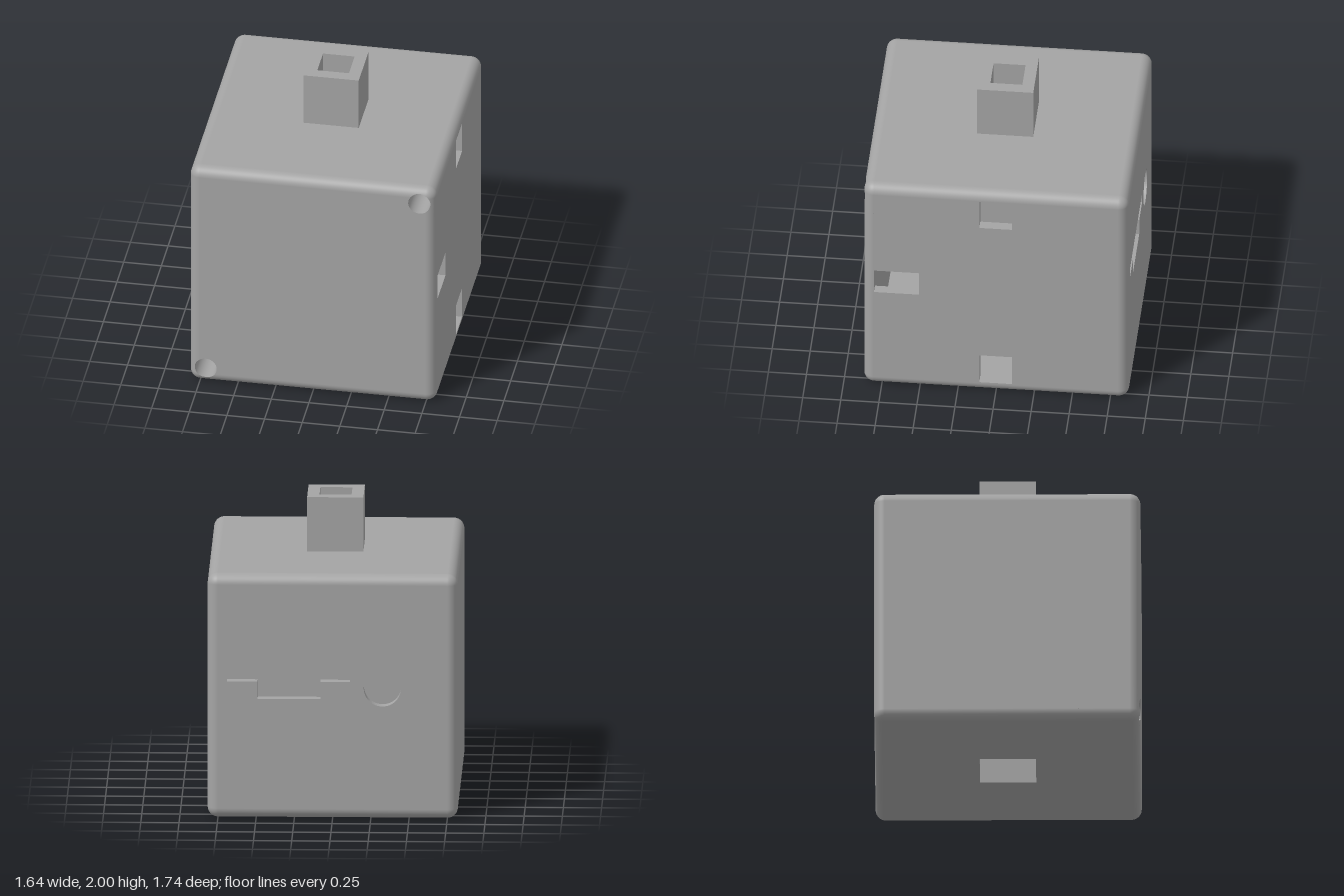
import * as THREE from 'three';
import { ParametricGeometry } from 'three/addons/geometries/ParametricGeometry.js';

const W = 0.818, D = 0.87, R = 0.068;      // half width/height, half depth, edge radius
const F = W - R, FZ = D - R;               // half sizes of the flat areas
const C = 0.709, Q = 2 * C - W;            // screw hole centre, inner limit of its corner patch
const BORE = 0.073, PILOT = 0.037;
const BORE_END = D - 0.25;                 // z of the step inside the screw hole
const SKIN = R / 2;                        // walls are an outer skin plus an inner lining
const STUD = 0.184, DUCT = 0.105;

const mat = new THREE.MeshStandardMaterial({ color: 0xa4a4a4 });
const matDouble = new THREE.MeshStandardMaterial({ color: 0xa4a4a4, side: THREE.DoubleSide });

const poly = (pts, Type = THREE.Shape) => new Type(pts.map(p => new THREE.Vector2(...p)));
const rect = (x0, y0, x1, y1, Type) => poly([[x0, y0], [x1, y0], [x1, y1], [x0, y1]], Type);
const rectHole = (x0, y0, x1, y1) => rect(x0, y0, x1, y1, THREE.Path);

// Centred rectangle with one corner cut out, in the quadrant given by the signs
function notchedRect(w, h, sx, sy, cutX, cutY) {
  const pts = [[-w, -h], [w, -h], [w, h - cutY], [w - cutX, h - cutY], [w - cutX, h], [-w, h]];
  return poly(pts.map(([x, y]) => [sx * x, sy * y]));
}

function add(parent, name, geo, material = mat) {
  const m = new THREE.Mesh(geo, material);
  m.name = name;
  parent.add(m);
  return m;
}

// Plate with holes; its outer face lies at z = 0
function plate(shape, holes, depth) {
  shape.holes.push(...holes);
  const geo = new THREE.ExtrudeGeometry(shape, { depth, bevelEnabled: false, curveSegments: 32 });
  return geo.translate(0, 0, -depth);
}

// Skin and lining together; the lining leaves room for the screw bore
function wall(parent, name, w, h, holes, sx, sy, cutX, cutY) {
  const g = new THREE.Group();
  g.name = name;
  add(g, 'skin', plate(rect(-w, -h, w, h), holes, SKIN));
  add(g, 'lining', plate(notchedRect(w, h, sx, sy, cutX, cutY), holes, R - SKIN)).position.z = -SKIN;
  parent.add(g);
  return g;
}

// Front surface, including its rounded border
function frontZ(x, y) {
  const d = Math.hypot(Math.max(0, x - F), Math.max(0, y - F));
  return FZ + Math.sqrt(Math.max(0, R * R - d * d));
}

// Distance from the screw hole centre to the border of the corner patch
function patchReach(dx, dy) {
  const t = (W - C) / Math.max(Math.abs(dx), Math.abs(dy));
  if (C + dx * t <= F || C + dy * t <= F) return t;
  const o = C - F, b = o * (dx + dy);
  return -b + Math.sqrt(b * b - 2 * o * o + R * R);
}

// Rounded front corner with a counterbored screw hole
function screwCorner() {
  const g = new THREE.Group();
  // Angles gather towards the patch corners, where the surface is steepest
  const around = u => {
    const k = Math.min(3, Math.floor(u * 4)), f = u * 4 - k;
    const a = Math.PI / 4 + (k + f * f * (3 - 2 * f)) * Math.PI / 2;
    return [Math.cos(a), Math.sin(a)];
  };
  add(g, 'cornerSurface', new ParametricGeometry((u, v, p) => {
    const [dx, dy] = around(u);
    const s = BORE + (patchReach(dx, dy) - BORE) * (1 - (1 - v) ** 2);
    const x = C + dx * s, y = C + dy * s;
    p.set(x, y, frontZ(x, y));
  }, 128, 14), matDouble);
  add(g, 'bore', new ParametricGeometry((u, v, p) => {
    const [dx, dy] = around(u);
    const x = C + dx * BORE, y = C + dy * BORE;
    p.set(x, y, THREE.MathUtils.lerp(frontZ(x, y), BORE_END, v));
  }, 128, 1), matDouble);
  add(g, 'boreStep', new THREE.RingGeometry(PILOT, BORE, 48), matDouble).position.set(C, C, BORE_END);
  const pilot = new THREE.CylinderGeometry(PILOT, PILOT, 0.12, 32, 1, true).rotateX(Math.PI / 2);
  add(g, 'pilotHole', pilot, matDouble).position.set(C, C, BORE_END - 0.06);
  return g;
}

// Quarter-round edges along each axis and the plain corners
function addRounding(body) {
  const quads = [[1, 1], [1, -1], [-1, -1], [-1, 1]];
  const quarter = (length, i) =>
    new THREE.CylinderGeometry(R, R, length, 12, 1, true, i * Math.PI / 2, Math.PI / 2);
  quads.forEach(([a, b], i) => {
    // Front edges stop short at the screw corners
    const lo = b > 0 && a < 0 ? -Q : -F, hi = b > 0 && a > 0 ? Q : F;
    const len = hi - lo, mid = (hi + lo) / 2;
    add(body, 'uprightEdge', quarter(len, i)).position.set(a * F, mid, b * FZ);
    add(body, 'crossEdge', quarter(len, i).rotateZ(Math.PI / 2)).position.set(mid, a * F, b * FZ);
    add(body, 'depthEdge', quarter(2 * FZ, i).rotateX(Math.PI / 2)).position.set(a * F, -b * F, 0);
  });
  [[-1, 1], [1, 1], [1, -1], [-1, -1]].forEach(([x, z], i) => {
    for (const y of [1, -1]) {
      if (z > 0 && x === y) continue;
      const geo = new THREE.SphereGeometry(R, 12, 12, i * Math.PI / 2, Math.PI / 2,
        y > 0 ? 0 : Math.PI / 2, Math.PI / 2);
      add(body, 'roundedCorner', geo).position.set(x * F, y * F, z * FZ);
    }
  });
}

export function createModel() {
  const model = new THREE.Group();
  model.name = 'housing';
  const body = new THREE.Group();
  body.name = 'body';
  body.position.y = W;
  model.add(body);

  // Front wall, notched for the screw corners
  const frontShape = poly([[-F, -Q], [-Q, -Q], [-Q, -F], [F, -F], [F, Q], [Q, Q], [Q, F], [-F, F]]);
  add(body, 'frontWall', plate(frontShape, [], R)).position.z = D;
  for (const turn of [0, Math.PI]) {
    const corner = screwCorner();
    corner.name = 'screwCorner';
    corner.rotation.z = turn;
    body.add(corner);
  }

  // Back wall with stepped slot and round port
  const port = new THREE.Path();
  port.absarc(0.326, 0.88 - W, 0.122, 0, Math.PI * 2);
  const slot = poly([[-0.69, 0.995], [0.115, 0.995], [0.115, 0.92], [-0.08, 0.92],
    [-0.08, 0.805], [-0.49, 0.805], [-0.49, 0.92], [-0.69, 0.92]].map(([x, y]) => [x, y - W]), THREE.Path);
  const back = add(body, 'backWall', plate(rect(-F, -F, F, F), [slot, port], R));
  back.rotation.y = Math.PI;
  back.position.z = -D;

  // Side walls; one has three windows
  const cutZ = FZ - BORE_END, cut = F - Q;
  const windows = [rectHole(-0.108, 1.35 - W, 0.108, 1.565 - W), rectHole(-0.108, 0.075 - W, 0.108, 0.297 - W),
    rectHole(-0.8, 0.768 - W, -0.505, 0.945 - W)];
  for (const s of [1, -1]) {
    const side = wall(body, s > 0 ? 'leftWall' : 'rightWall', FZ, F, s > 0 ? windows : [], -s, s, cutZ, cut);
    side.rotation.y = s * Math.PI / 2;
    side.position.x = s * W;
  }

  // Top and bottom walls
  for (const [s, h, name] of [[1, DUCT, 'topWall'], [-1, STUD, 'bottomWall']]) {
    const lid = wall(body, name, F, FZ, [rectHole(-h, -h, h, h)], s, -s, cut, cutZ);
    lid.rotation.x = -s * Math.PI / 2;
    lid.position.y = s * W;
  }
  addRounding(body);

  // Hollow stud on top
  const stud = add(model, 'topStud', plate(rect(-STUD, -STUD, STUD, STUD),
    [rectHole(-DUCT, -DUCT, DUCT, DUCT)], 2 - 2 * W));
  stud.rotation.x = -Math.PI / 2;
  stud.position.y = 2;

  // Matching socket underneath, with a small cable opening in its ceiling
  const S = STUD + 0.05;
  const socket = add(model, 'socketWalls', plate(rect(-S, -S, S, S),
    [rectHole(-STUD, -STUD, STUD, STUD)], 0.37 - R));
  socket.rotation.x = -Math.PI / 2;
  socket.position.y = 0.37;
  const ceiling = add(model, 'socketCeiling', plate(rect(-S, -S, S, S), [rectHole(-0.095, -0.093, 0, 0)], 0.05));
  ceiling.rotation.x = -Math.PI / 2;
  ceiling.position.y = 0.42;
  return model;
}
